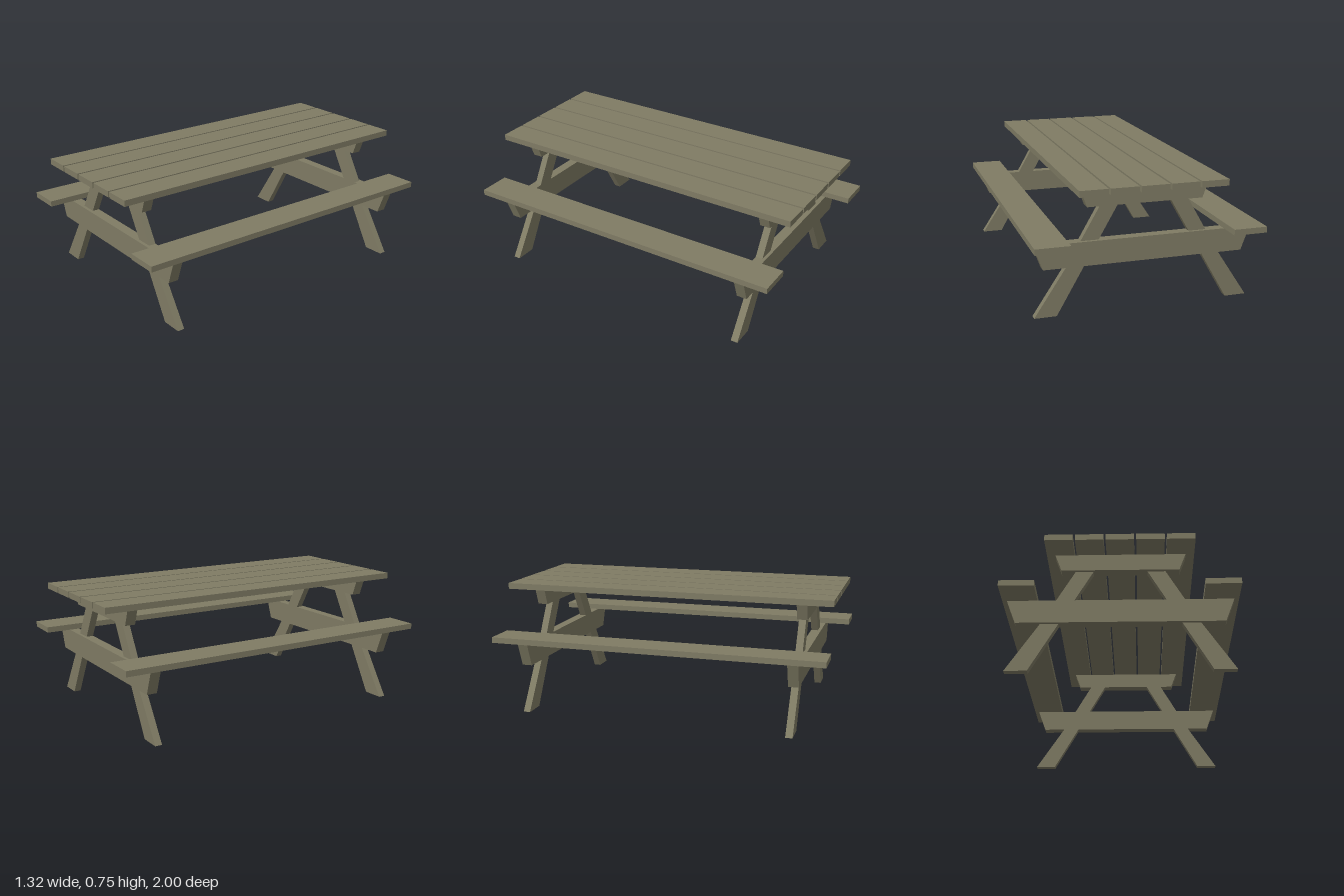
import * as THREE from 'three';

export function createModel() {
  const table = new THREE.Group();
  table.name = 'picnicTable';
  const wood = new THREE.MeshStandardMaterial({ color: 0x7f7b64 });
  wood.name = 'weathered wood';

  // Full-length board between two x positions and two heights
  function board(name, x0, x1, y0, y1) {
    const mesh = new THREE.Mesh(new THREE.BoxGeometry(x1 - x0, y1 - y0, 2), wood);
    mesh.position.set((x0 + x1) / 2, (y0 + y1) / 2, 0);
    mesh.name = name;
    table.add(mesh);
  }

  // Flat outline in x/y, extruded from z0 to z1
  function slab(name, points, z0, z1) {
    const shape = new THREE.Shape(points.map(([x, y]) => new THREE.Vector2(x, y)));
    const geometry = new THREE.ExtrudeGeometry(shape, { depth: z1 - z0, bevelEnabled: false });
    geometry.translate(0, 0, z0);
    const mesh = new THREE.Mesh(geometry, wood);
    mesh.name = name;
    return mesh;
  }

  // Cross beam with sloping ends
  const beam = (name, top, bottom, y0, y1) =>
    slab(name, [[-bottom, y0], [bottom, y0], [top, y1], [-top, y1]], 0.783, 0.844);

  // Table top: five planks
  for (let i = -2; i <= 2; i++) {
    board('topPlank', i * 0.17 - 0.079, i * 0.17 + 0.079, 0.714, 0.75);
  }

  // Bench seats
  board('leftSeat', 0.463, 0.659, 0.426, 0.46);
  board('rightSeat', -0.659, -0.463, 0.426, 0.46);

  // End frames: two splayed legs and two cross beams each
  for (const end of ['front', 'back']) {
    const frame = new THREE.Group();
    frame.name = end + 'Frame';
    frame.add(beam('topBeam', 0.37, 0.333, 0.613, 0.714));
    frame.add(beam('seatBeam', 0.631, 0.58, 0.282, 0.42));
    for (const side of [1, -1]) {
      const outline = [[0.503, 0], [0.63, 0], [0.446, 0.28], [0.254, 0.614], [0.152, 0.614]];
      frame.add(slab(side > 0 ? 'leftLeg' : 'rightLeg',
        outline.map(([x, y]) => [x * side, y]), 0.783, 0.825));
    }
    if (end === 'back') frame.rotation.y = Math.PI;
    table.add(frame);
  }
  return table;
}
